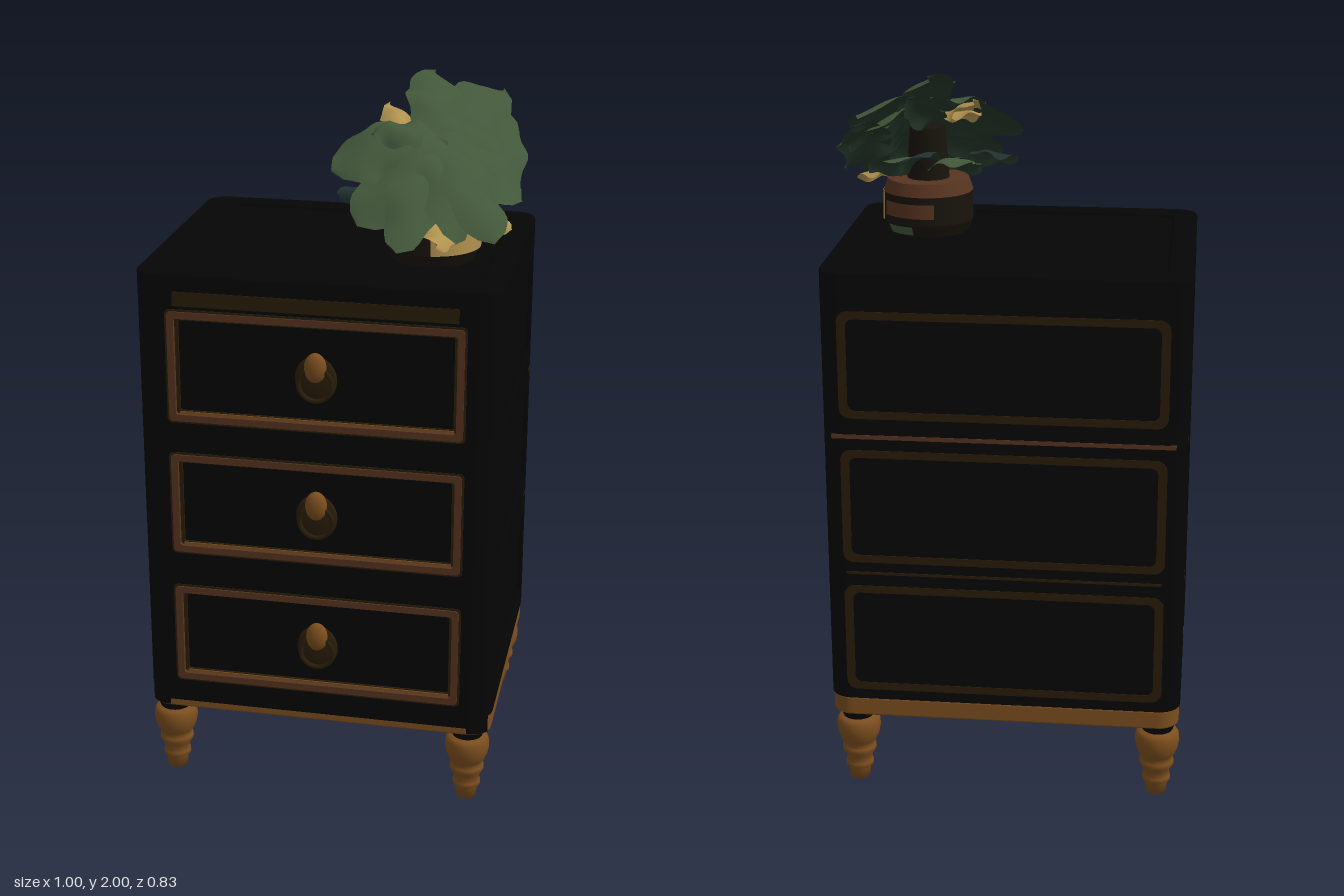
import * as THREE from 'three';

const mat = (name, color, side = THREE.FrontSide) => {
  const m = new THREE.MeshStandardMaterial({ color, side });
  m.name = name;
  return m;
};

// Rounded rectangle outline centred on (cx, cy)
function roundRect(Type, cx, cy, w, h, r) {
  const s = new Type(), x = cx - w / 2, y = cy - h / 2;
  s.moveTo(x + r, y);
  s.lineTo(x + w - r, y); s.absarc(x + w - r, y + r, r, -Math.PI / 2, 0);
  s.lineTo(x + w, y + h - r); s.absarc(x + w - r, y + h - r, r, 0, Math.PI / 2);
  s.lineTo(x + r, y + h); s.absarc(x + r, y + h - r, r, Math.PI / 2, Math.PI);
  s.lineTo(x, y + r); s.absarc(x + r, y + r, r, Math.PI, Math.PI * 1.5);
  return s;
}

export function createModel() {
  const black = mat('black lacquer', 0x050505);
  const bronze = mat('bronze', 0x7c4e1e);
  const copper = mat('copper trim', 0x573420);
  const olive = mat('dark gold', 0x2a1d09);
  const beige = mat('beige', 0xb0924f, THREE.DoubleSide);
  const potDark = mat('dark glaze', 0x18130c);
  const green = mat('leaf green', 0x42573a);
  const under = mat('leaf underside', 0x25382a, THREE.BackSide);
  const blueGreen = mat('blue green leaf', 0x222f30);

  const root = new THREE.Group();
  const add = (name, geo, m, parent = root, x = 0, y = 0, z = 0) => {
    const mesh = new THREE.Mesh(geo, m);
    mesh.name = name;
    mesh.position.set(x, y, z);
    parent.add(mesh);
    return mesh;
  };
  const CX = -0.01, CZ = -0.0075;

  // Horizontal slab with rounded corners between heights y0 and y1
  const slab = (name, w, d, r, y0, y1, m, bevel = 0, hole = null, cz = CZ) => {
    const s = roundRect(THREE.Shape, 0, 0, w - 2 * bevel, d - 2 * bevel, r - bevel);
    if (hole) s.holes.push(hole);
    const g = new THREE.ExtrudeGeometry(s, {
      depth: y1 - y0 - 2 * bevel, bevelEnabled: bevel > 0, bevelSize: bevel,
      bevelThickness: bevel, bevelSegments: 3, curveSegments: 8,
    });
    g.rotateX(-Math.PI / 2);
    return add(name, g, m, root, CX, y0 + bevel, cz);
  };
  // Upright plate with rounded rectangular openings [cx, cy, w, h, r]
  const plate = (w, y0, y1, depth, openings, r = 0.002) => {
    const s = roundRect(THREE.Shape, 0, (y0 + y1) / 2, w, y1 - y0, r);
    for (const o of openings) s.holes.push(roundRect(THREE.Path, ...o));
    return new THREE.ExtrudeGeometry(s, { depth, bevelEnabled: false, curveSegments: 5 });
  };

  // Cabinet body
  slab('baseBand', 0.984, 0.81, 0.06, 0.225, 0.28, bronze, 0.005);
  slab('underside', 0.91, 0.735, 0.04, 0.222, 0.23, black);
  slab('bodyCore', 0.972, 0.777, 0.05, 0.27, 1.48, black, 0, null, -0.0165);
  slab('top', 0.99, 0.815, 0.06, 1.46, 1.517, black, 0.004);
  slab('topRim', 0.99, 0.815, 0.06, 1.5, 1.526, black, 0.008,
    roundRect(THREE.Path, 0, 0, 0.865, 0.69, 0.05));
  for (const x of [-0.445, 0.425]) for (const z of [-0.355, 0.34]) {
    add('cornerPost', new THREE.CylinderGeometry(0.06, 0.06, 1.19, 28), black, root, x, 0.875, z);
    if (z > 0) add('cornerApron', new THREE.CylinderGeometry(0.0605, 0.0605, 0.05, 10, 1, true, x > 0 ? -0.1 : -1, 1.1),
      black, root, x, 0.256, z);
  }

  // Front frame and its drawers
  const drawers = [[1.11, 1.425], [0.72, 1.015], [0.32, 0.615]];
  const frontHoles = drawers.map(([a, b]) => [0, (a + b) / 2, 0.77, b - a - 0.03, 0.008]);
  add('frontFrame', plate(0.87, 0.248, 1.47, 0.04, frontHoles), black, root, CX, 0, 0.36);
  add('topStripe', new THREE.BoxGeometry(0.77, 0.04, 0.004), olive, root, CX, 1.458, 0.4);
  drawers.forEach(([a, b], i) => {
    const g = new THREE.Group(), cy = (a + b) / 2, h = b - a;
    g.name = 'drawer' + (i + 1);
    g.position.set(CX, 0, 0);
    root.add(g);
    add('outerTrim', plate(0.815, a - 0.004, b + 0.004, 0.008, [[0, cy, 0.79, h - 0.02, 0.008]], 0.014), olive, g, 0, 0, 0.394);
    add('drawerTrim', plate(0.803, a + 0.002, b - 0.002, 0.012, [[0, cy, 0.765, h - 0.042, 0.008]], 0.012), copper, g, 0, 0, 0.394);
    add('innerTrim', plate(0.767, a + 0.02, b - 0.02, 0.006, [[0, cy, 0.747, h - 0.058, 0.006]], 0.008), olive, g, 0, 0, 0.385);
    add('goldLine', new THREE.BoxGeometry(0.75, 0.008, 0.008), bronze, g, 0, a + 0.023, 0.39);
    add('drawerPanel', new THREE.BoxGeometry(0.75, h - 0.05, 0.02), black, g, 0, cy, 0.367);
    // Pull: dark plate, hanging ring and rounded knob
    const ky = cy - 0.018;
    add('pullPlate', new THREE.SphereGeometry(1, 24, 12), olive, g, 0, ky, 0.378).scale.set(0.058, 0.066, 0.014);
    add('pullRing', new THREE.TorusGeometry(0.046, 0.007, 8, 28), olive, g, 0, ky - 0.012, 0.388);
    add('knob', new THREE.SphereGeometry(1, 20, 14), bronze, g, 0, ky + 0.035, 0.385).scale.set(0.031, 0.042, 0.022);
  });

  // Side frames with shallow panels
  const sideHoles = [[1.12, 1.42], [0.72, 1.0], [0.33, 0.61]].map(([a, b]) => [0, (a + b) / 2, 0.61, b - a, 0.02]);
  for (const s of [1, -1]) {
    const m = add('sideFrame', plate(0.695, 0.28, 1.47, 0.02, sideHoles), black, root, CX + s * 0.475, 0, CZ);
    m.rotation.y = s * Math.PI / 2;
    for (const y of [1.068, 0.665])
      add('sideSeam', new THREE.BoxGeometry(0.004, 0.006, 0.05), olive, root, CX + s * 0.494, y, -0.33);
  }

  // Back with painted panel outlines and seams
  const back = new THREE.Group();
  back.name = 'back';
  back.position.set(CX, 0, -0.4);
  back.rotation.y = Math.PI;
  root.add(back);
  add('backPlate', plate(0.87, 0.28, 1.47, 0.015, []), black, back);
  for (const [a, b] of [[1.12, 1.42], [0.7, 1.03], [0.31, 0.63]])
    add('backOutline', plate(0.885, a, b, 0.004, [[0, (a + b) / 2, 0.837, b - a - 0.044, 0.02]], 0.03), olive, back, 0, 0, 0.0125);
  add('backSeam', new THREE.BoxGeometry(0.93, 0.012, 0.005), copper, back, 0, 1.068, 0.014);
  add('backSeam', new THREE.BoxGeometry(0.87, 0.008, 0.005), olive, back, 0, 0.668, 0.014);

  // Turned legs
  const legProfile = [[0, 0], [0.029, 0], [0.031, 0.03], [0.04, 0.04], [0.039, 0.052], [0.035, 0.056], [0.039, 0.075],
    [0.049, 0.09], [0.048, 0.102], [0.041, 0.108], [0.05, 0.122], [0.059, 0.142], [0.063, 0.165], [0.061, 0.186],
    [0.054, 0.197], [0.035, 0.202], [0, 0.202]].map(p => new THREE.Vector2(...p));
  for (const x of [-0.443, 0.415]) for (const z of [-0.353, 0.338]) {
    add('leg', new THREE.LatheGeometry(legProfile, 24), bronze, root, x, 0, z);
    add('legCollar', new THREE.CylinderGeometry(0.055, 0.042, 0.036, 24), black, root, x, 0.214, z);
  }

  // Plant pot: dark foot, glazed wall with painted patches, copper rim
  const plant = new THREE.Group();
  plant.name = 'pottedPlant';
  root.add(plant);
  const PX = 0.255, PZ = 0.09;
  const wall = (name, rt, rb, y0, y1, m, start = 0, len = Math.PI * 2) =>
    add(name, new THREE.CylinderGeometry(rt, rb, y1 - y0, 32, 1, len < 6, start, len), m, plant, PX, (y0 + y1) / 2, PZ);
  wall('potFoot', 0.128, 0.112, 1.525, 1.56, potDark);
  wall('footPatch', 0.127, 0.116, 1.53, 1.555, green, 2.2, 0.7);
  wall('potWall', 0.125, 0.127, 1.56, 1.64, potDark);
  wall('potPatch', 0.128, 0.13, 1.56, 1.64, beige, 0.1, 1.9);
  wall('potSide', 0.128, 0.13, 1.565, 1.64, copper, 4.9, 0.9);
  wall('potBackPatch', 0.128, 0.13, 1.58, 1.62, copper, 2.1, 1.3);
  wall('potRim', 0.115, 0.127, 1.64, 1.675, copper);
  wall('stems', 0.05, 0.06, 1.67, 1.82, potDark);

  // Broad arched leaf from base to tip, leaning forward, cupped and rippled at the edges
  const lean = new THREE.Vector3(0.8, 0, 0.8);
  const leaf = (name, from, to, width, arch, m, seed) => {
    const a = new THREE.Vector3(...from), b = new THREE.Vector3(...to);
    const dir = b.clone().sub(a);
    const side = new THREE.Vector3(-dir.z, 0, dir.x).normalize();
    const up = side.clone().cross(dir).normalize();
    if (up.y < 0) up.negate();
    const k = 0.6 * side.dot(lean), level = side.clone();
    side.addScaledVector(up, -k).normalize();
    up.addScaledVector(level, k).normalize();
    const g = new THREE.PlaneGeometry(1, 1, 8, 16), p = g.attributes.position, v = new THREE.Vector3();
    for (let i = 0; i < p.count; i++) {
      const s = p.getX(i) * 2, t = p.getY(i) + 0.5;
      const w = width * Math.pow(Math.max(Math.sin(Math.PI * (0.06 + 0.94 * t)), 0), 0.45) * (1 + 0.08 * Math.sin(t * 17 + seed));
      const lift = arch * Math.sin(Math.PI * t) - 0.025 * s * s * Math.sin(Math.PI * t)
        + 0.009 * s * Math.sin(t * 11 + seed * 2);
      v.copy(a).addScaledVector(dir, t).addScaledVector(side, s * w).addScaledVector(up, lift);
      p.setXYZ(i, v.x, v.y, v.z);
    }
    g.computeVertexNormals();
    // Keep the upper surface on the front of the faces
    if (g.attributes.normal.getY(76) < 0) {
      const ix = g.index.array;
      for (let i = 0; i < ix.length; i += 3) [ix[i], ix[i + 1]] = [ix[i + 1], ix[i]];
      g.computeVertexNormals();
    }
    add(name, g, m, plant);
    if (m !== beige) add(name + 'Underside', g, under, plant);
  };
  const heart = [0.26, 1.86, 0.1];
  const tips = [
    [0.22, 1.985, -0.12, 0.085], [0.39, 1.91, -0.27, 0.095], [0.45, 1.79, -0.08, 0.095], [0.495, 1.69, 0.1, 0.09],
    [0.45, 1.63, 0.3, 0.09], [0.35, 1.63, 0.33, 0.08], [0.21, 1.62, 0.41, 0.075], [0.09, 1.66, 0.32, 0.085],
    [0, 1.78, 0.22, 0.1], [0.1, 1.87, 0.17, 0.05],
  ];
  tips.forEach(([x, y, z, w], i) => leaf('leaf', heart, [x, y, z], w, 0.025, green, i * 1.7));
  // Long draped leaf along the right-hand edge
  leaf('drapedLeaf', [0.43, 1.71, 0.2], [0.41, 1.87, -0.2], 0.075, 0.02, green, 4);
  // Lower leaves around the pot rim
  [[0.12, 1.73, 0.02], [0.41, 1.72, 0.0], [0.28, 1.76, -0.09], [0.12, 1.67, 0.22], [0.4, 1.67, 0.22]].forEach((t, i) =>
    leaf('lowerLeaf', [0.255, 1.7, 0.09], t, 0.06, 0.02, i === 2 ? blueGreen : green, i * 2.3 + 1));
  // Odd coloured leaves
  leaf('blueLeaf', [0.22, 1.84, 0.04], [0.27, 1.94, -0.14], 0.05, 0, blueGreen, 1);
  leaf('blueLeaf', [0.15, 1.73, 0.17], [0.01, 1.71, 0.19], 0.04, 0.01, blueGreen, 2);
  leaf('beigeLeaf', [0.19, 1.85, 0.09], [0.11, 1.91, -0.03], 0.045, 0.01, beige, 3);
  leaf('beigeLeaf', [0.22, 1.85, 0.09], [0.1, 1.86, 0.07], 0.03, 0.01, beige, 6);
  leaf('beigeLeaf', [0.34, 1.67, 0.17], [0.48, 1.64, 0.2], 0.035, 0.02, beige, 4);
  leaf('beigeLeaf', [0.28, 1.65, 0.15], [0.3, 1.62, 0.33], 0.05, 0.01, beige, 5);

  return root;
}
